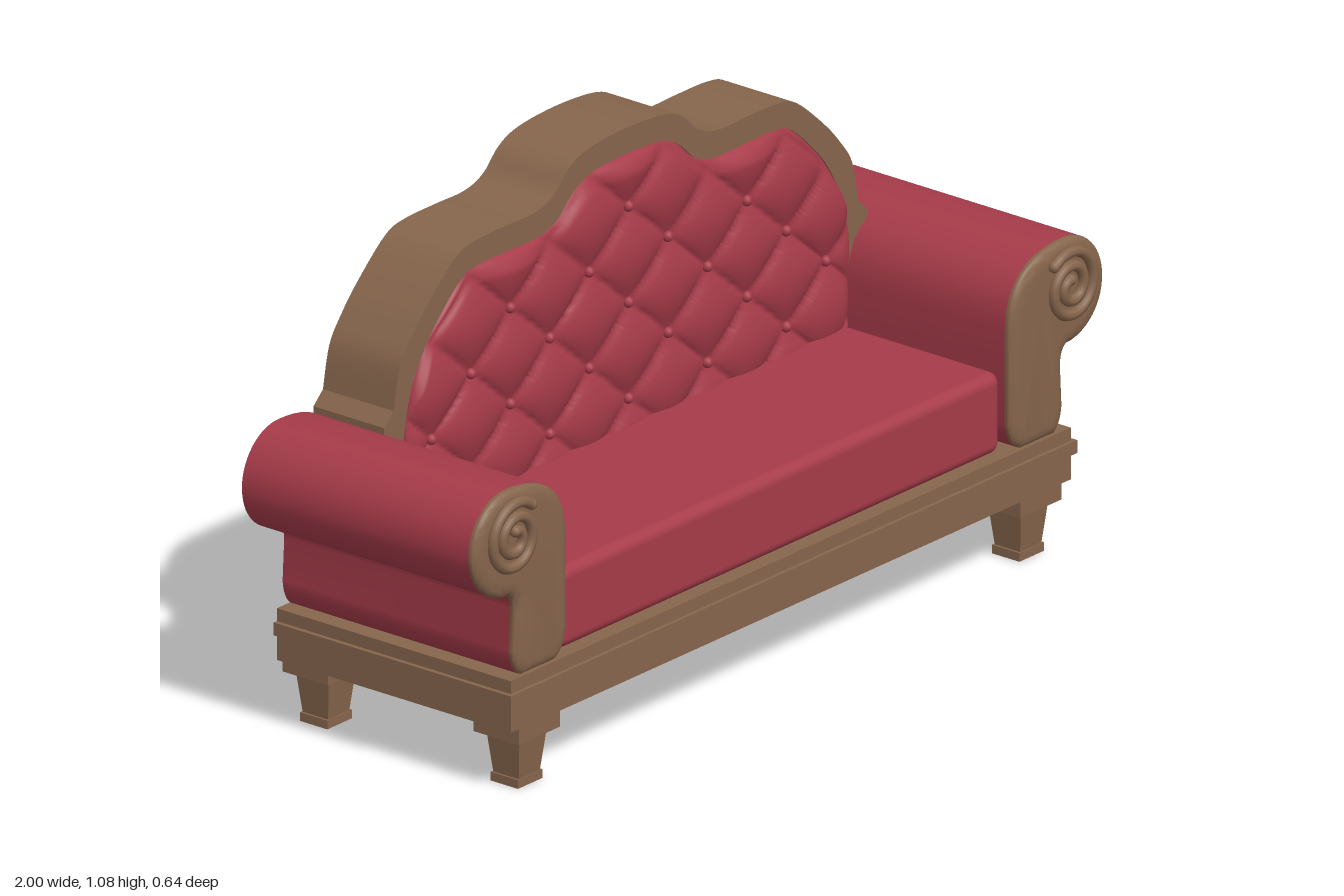
import * as THREE from 'three';
import { toCreasedNormals } from 'three/addons/utils/BufferGeometryUtils.js';
import { RoundedBoxGeometry } from 'three/addons/geometries/RoundedBoxGeometry.js';

const V2 = (x, y) => new THREE.Vector2(x, y);

// Smooth symmetric curve through a right-hand half, running from +x over the top to -x
function archCurve(half) {
  const right = half.map(([x, y]) => V2(x, y));
  const left = half.slice(0, -1).reverse().map(([x, y]) => V2(-x, y));
  return new THREE.SplineCurve([...right, ...left]);
}

export function createModel() {
  const wood = new THREE.MeshStandardMaterial({ color: 0x86654c });
  wood.name = 'walnut wood';
  const fabric = new THREE.MeshStandardMaterial({ color: 0xa63b49 });
  fabric.name = 'red fabric';

  const model = new THREE.Group();
  model.name = 'sofa';

  function add(name, geometry, material, x = 0, y = 0, z = 0, parent = model) {
    const mesh = new THREE.Mesh(geometry, material);
    mesh.name = name;
    mesh.position.set(x, y, z);
    parent.add(mesh);
    return mesh;
  }

  // Box given by half width, y range and z range
  function slab(name, hx, y0, y1, z0, z1) {
    add(name, new THREE.BoxGeometry(2 * hx, y1 - y0, z1 - z0), wood, 0, (y0 + y1) / 2, (z0 + z1) / 2);
  }

  // Stepped base
  slab('baseRail', 0.888, 0.146, 0.203, -0.312, 0.304);
  slab('baseMoulding', 0.898, 0.203, 0.231, -0.312, 0.313);
  slab('baseTop', 0.888, 0.231, 0.259, -0.312, 0.304);

  // Tapered square legs
  const taper = toCreasedNormals(
    new THREE.CylinderGeometry(0.087 / Math.SQRT2, 0.067 / Math.SQRT2, 0.092, 4).rotateY(Math.PI / 4), 0.5);
  for (const x of [-0.795, 0.795]) {
    for (const z of [0.242, -0.26]) {
      const leg = new THREE.Group();
      leg.name = 'leg';
      leg.position.set(x, 0, z);
      model.add(leg);
      add('legBlock', new THREE.BoxGeometry(0.13, 0.037, 0.12), wood, 0, 0.1285, 0, leg);
      add('legTaper', taper, wood, 0, 0.064, 0, leg);
      add('legFoot', new THREE.BoxGeometry(0.078, 0.019, 0.072), wood, 0, 0.0095, 0, leg);
    }
  }

  // Seat cushion
  add('seatCushion', new RoundedBoxGeometry(1.4, 0.178, 0.42, 4, 0.025), fabric, 0, 0.346, 0.07);

  // Back frame with an arched opening
  const outer = archCurve([[0.737, 0.69], [0.717, 0.78], [0.68, 0.835], [0.626, 0.893], [0.54, 0.965],
    [0.48, 0.982], [0.38, 0.984], [0.29, 0.984], [0.23, 1.003], [0.18, 1.048], [0.118, 1.071], [0, 1.079]]);
  const inner = archCurve([[0.705, 0.62], [0.685, 0.71], [0.655, 0.77], [0.61, 0.832], [0.525, 0.91],
    [0.47, 0.926], [0.38, 0.927], [0.28, 0.927], [0.22, 0.945], [0.165, 0.992], [0.107, 1.016], [0, 1.022]]);
  const frameShape = new THREE.Shape([
    V2(0.767, 0.147), V2(0.767, 0.662), ...outer.getPoints(110), V2(-0.767, 0.662), V2(-0.767, 0.147)]);
  const opening = [V2(0.705, 0.2), ...inner.getPoints(110), V2(-0.705, 0.2)];
  frameShape.holes.push(new THREE.Path(opening));
  add('backFrame', toCreasedNormals(
    new THREE.ExtrudeGeometry(frameShape, { depth: 0.186, bevelEnabled: false }), 0.5), wood, 0, 0, -0.316);
  add('backPanel', new THREE.ExtrudeGeometry(new THREE.Shape(opening),
    { depth: 0.17, bevelEnabled: false }), fabric, 0, 0, -0.3135);

  // Tufted back cushion: diamond pillows pinched along a slanted lattice
  const columns = inner.getSpacedPoints(170);
  const rows = 80, bottom = 0.4, rowY = 0.49;
  const positions = [], index = [];
  columns.forEach((p, i) => {
    for (let j = 0; j <= rows; j++) {
      const y = bottom + (p.y - bottom) * j / rows;
      const u = p.x / 0.25 + (y - rowY) / 0.21;
      const v = p.x / 0.25 - (y - rowY) / 0.21;
      const puff = Math.sqrt(Math.abs(Math.sin(Math.PI * u) * Math.sin(Math.PI * v)));
      const edge = Math.sqrt(Math.min(1, Math.max(0, Math.min(p.y - y, 0.705 - Math.abs(p.x))) / 0.035));
      positions.push(p.x, y, -0.134 + edge * (0.005 + 0.026 * puff));
      if (i < columns.length - 1 && j < rows) {
        const a = i * (rows + 1) + j, c = a + rows + 1;
        index.push(a, a + 1, c + 1, a, c + 1, c);
      }
    }
  });
  const tufting = new THREE.BufferGeometry();
  tufting.setAttribute('position', new THREE.Float32BufferAttribute(positions, 3));
  tufting.setIndex(index);
  tufting.computeVertexNormals();
  add('tuftedBack', tufting, fabric);

  // Buttons at the lattice points
  const button = new THREE.SphereGeometry(0.012, 12, 8);
  const buttonRows = [[0, 0.25, 0.5], [0.125, 0.375, 0.625], [0, 0.25, 0.5], [0.125, 0.375], [0]];
  buttonRows.forEach((xs, r) => {
    for (const x of xs) {
      for (const s of x ? [1, -1] : [1]) add('button', button, fabric, s * x, rowY + r * 0.105, -0.124);
    }
  });

  // Rolled arm profile
  const armPath = new THREE.Path();
  armPath.moveTo(0.74, 0.258);
  armPath.quadraticCurveTo(0.708, 0.27, 0.702, 0.32);
  armPath.lineTo(0.702, 0.52);
  armPath.bezierCurveTo(0.702, 0.62, 0.76, 0.672, 0.885, 0.672);
  armPath.absarc(0.885, 0.557, 0.115, Math.PI / 2, -Math.PI / 2, true);
  armPath.quadraticCurveTo(0.868, 0.435, 0.866, 0.405);
  armPath.lineTo(0.871, 0.315);
  armPath.quadraticCurveTo(0.868, 0.275, 0.845, 0.258);
  const armPoints = armPath.getPoints(14);

  for (const s of [1, -1]) {
    const arm = new THREE.Group();
    arm.name = s > 0 ? 'leftArm' : 'rightArm';
    model.add(arm);
    const shape = new THREE.Shape(armPoints.map((p) => V2(s * p.x, p.y)));
    add('armRoll', toCreasedNormals(
      new THREE.ExtrudeGeometry(shape, { depth: 0.596, bevelEnabled: false }), 0.6), fabric, 0, 0, -0.311, arm);

    // Domed wooden facing
    add('armFacing', toCreasedNormals(new THREE.ExtrudeGeometry(shape, {
      depth: 0.006, bevelThickness: 0.014, bevelSize: 0.032, bevelOffset: -0.032, bevelSegments: 5,
    }), 0.6), wood, 0, 0, 0.284, arm);

    // Carved spiral
    const spiral = [];
    for (let i = 0; i <= 40; i++) {
      const t = i / 40, a = 2.3 - t * Math.PI * 4.2, r = 0.08 - 0.064 * t;
      spiral.push(new THREE.Vector3(s * (0.882 + r * Math.cos(a)), 0.57 + r * Math.sin(a), 0.309));
    }
    add('armScroll', new THREE.TubeGeometry(new THREE.CatmullRomCurve3(spiral), 120, 0.012, 8), wood, 0, 0, 0, arm);
    for (const end of [spiral[0], spiral[40]]) {
      add('scrollEnd', new THREE.SphereGeometry(0.0125, 12, 8), wood, end.x, end.y, end.z, arm);
    }
  }

  return model;
}
